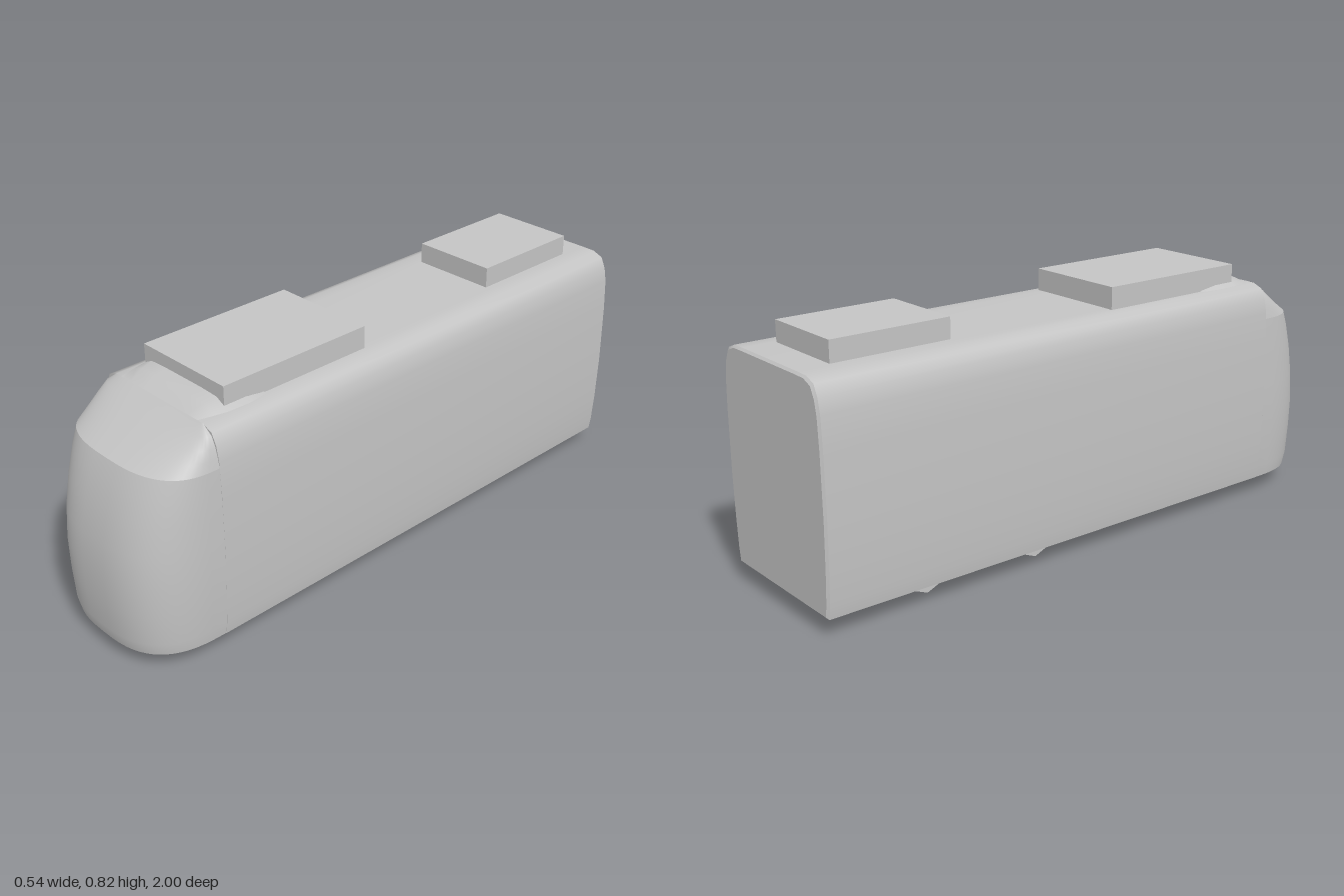
import * as THREE from 'three';

const FLOOR = 0.058, ROOF = 0.745, SEAM = 0.73;

// Smooth surface through rows of [x, y, z] points
function loft(rows) {
  const n = rows[0].length, index = [];
  for (let i = 0; i < rows.length - 1; i++) {
    for (let j = 0; j < n - 1; j++) {
      const a = i * n + j, b = a + 1, c = a + n, d = c + 1;
      index.push(a, b, c, b, d, c);
    }
  }
  return surface(rows.flat(), index);
}

// Flat convex face, counter-clockwise points
function face(points) {
  const index = [];
  for (let i = 1; i < points.length - 1; i++) index.push(0, i, i + 1);
  return surface(points, index);
}

function surface(points, index) {
  const g = new THREE.BufferGeometry();
  g.setAttribute('position', new THREE.Float32BufferAttribute(points.flat(), 3));
  g.setIndex(index);
  g.computeVertexNormals();
  return g;
}

export function createModel() {
  const model = new THREE.Group();
  model.name = 'bus';
  const grey = new THREE.MeshStandardMaterial({ color: 0xc4c4c4, side: THREE.DoubleSide });
  grey.name = 'plain grey';

  function add(name, geometry, x = 0, y = 0, z = 0) {
    const mesh = new THREE.Mesh(geometry, grey);
    mesh.name = name;
    mesh.position.set(x, y, z);
    model.add(mesh);
    return mesh;
  }

  // Body cross-section, from the left sill over the roof to the right sill
  const half = [
    [0.252, FLOOR], [0.258, 0.1], [0.264, 0.2], [0.268, 0.35], [0.266, 0.55],
    [0.261, 0.65], [0.252, 0.695], [0.235, 0.73], [0.2, 0.744], [0.15, ROOF],
  ];
  const profile = [...half, ...half.slice().reverse().map(([x, y]) => [-x, y])];
  const section = (z, inset = 0) => profile.map(([x, y]) => {
    const k = 1 - inset / 0.268;
    return [x * k, 0.4 + (y - 0.4) * (1 - inset / 0.345), z];
  });
  add('bodyShell', loft([section(-0.993), section(SEAM)]));
  add('rearLip', loft([section(-1, 0.007), section(-0.993)]));
  add('rearWall', face(section(-1, 0.007).reverse()));
  add('frontBulkhead', face(section(SEAM)));

  // Rounded nose: each level is a superellipse in plan [y, half width, front z]
  const levels = [
    [FLOOR, 0.251, 0.985], [0.1, 0.257, 0.995], [0.2, 0.263, 1], [0.3, 0.267, 1],
    [0.4, 0.267, 0.99], [0.5, 0.266, 0.968], [0.58, 0.264, 0.942], [0.63, 0.262, 0.92],
    [0.66, 0.256, 0.87], [0.69, 0.248, 0.821], [0.72, 0.234, 0.771], [ROOF, 0.2, SEAM],
  ];
  const ring = ([y, w, front]) => {
    const points = [];
    for (let i = 0; i <= 32; i++) {
      const a = (i / 32) * Math.PI, c = Math.cos(a), s = Math.max(0, Math.sin(a));
      const e = 2 / 2.8;
      points.push([
        -w * Math.sign(c) * Math.abs(c) ** e, y, SEAM + (front - SEAM) * s ** e,
      ]);
    }
    return points;
  };
  const rings = levels.map(ring);
  add('noseFront', loft(rings.slice(0, 8)));
  add('noseSlope', loft(rings.slice(7)));

  // Underside
  add('underside', face([...rings[0], [0.252, FLOOR, -0.993], [-0.252, FLOOR, -0.993]].reverse()));

  // Low roof fairing behind the nose [z, half width, height]
  const across = [[1, 0], [0.92, 0.35], [0.75, 0.9], [0.4, 1], [0, 1]];
  const humpSection = [...across, ...across.slice(0, 4).reverse().map(([x, h]) => [-x, h])];
  const hump = [
    [0.48, 0.17, 0], [0.5, 0.19, 0.012], [0.56, 0.2, 0.027], [0.64, 0.197, 0.031],
    [0.68, 0.188, 0.023], [SEAM, 0.175, 0],
  ];
  add('roofFairing', loft(hump.map(([z, w, h]) =>
    humpSection.map(([fx, fh]) => [fx * w, ROOF + fh * h, z]))));

  // Roof units
  add('frontRoofUnit', new THREE.BoxGeometry(0.36, 0.073, 0.54), 0, 0.7805, 0.37);
  add('rearRoofUnit', new THREE.BoxGeometry(0.29, 0.068, 0.4), 0, 0.778, -0.69);

  // Wheels, half sunk into the floor
  const wheel = new THREE.CylinderGeometry(0.06, 0.06, 0.022, 8).rotateZ(Math.PI / 2);
  for (const z of [-0.21, -0.62]) {
    for (const side of [1, -1]) {
      add(`${side > 0 ? 'left' : 'right'}${z > -0.4 ? 'Front' : 'Rear'}Wheel`, wheel, side * 0.17, 0.06, z);
    }
  }
  return model;
}
